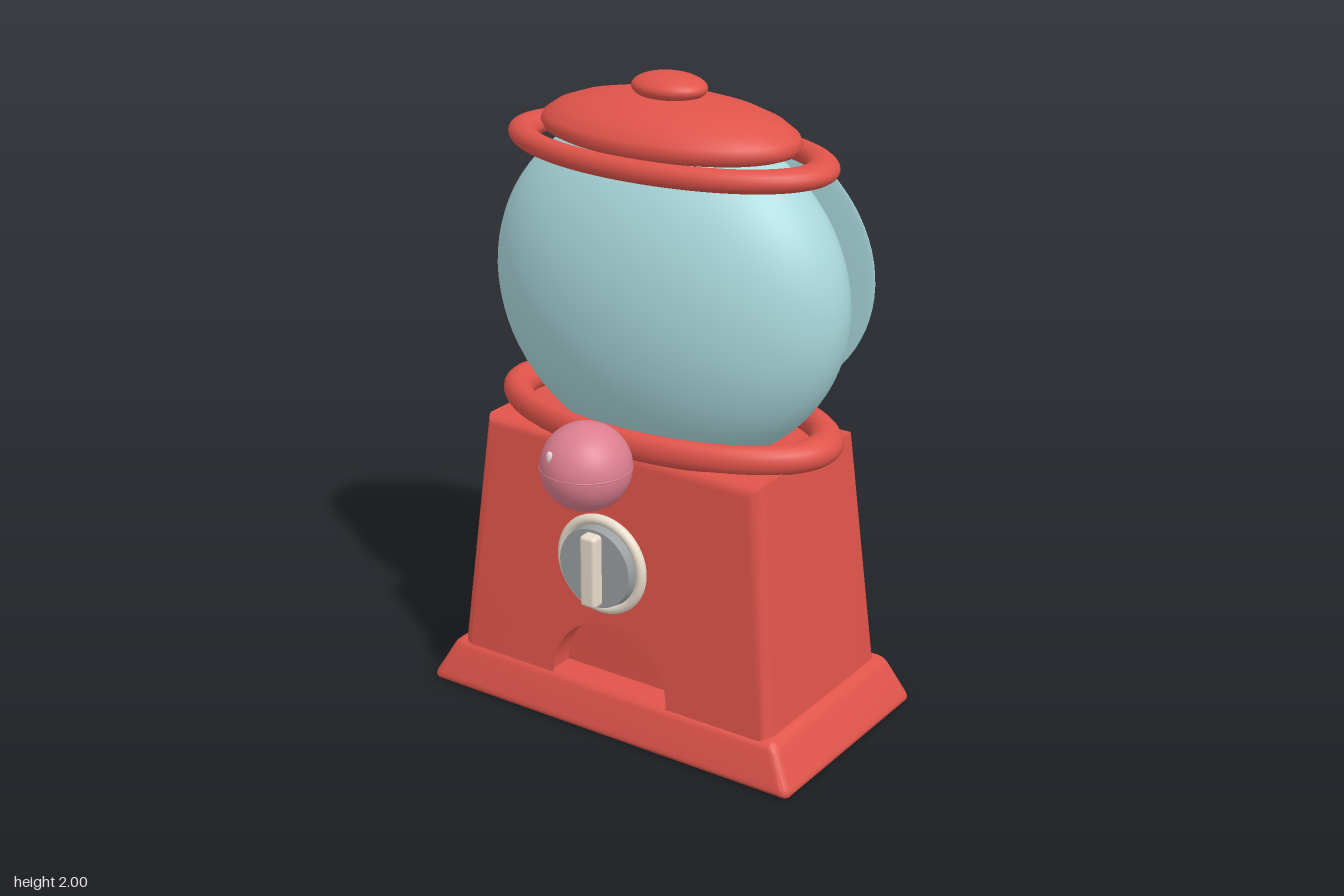
import * as THREE from 'three';
import { toCreasedNormals } from 'three/addons/utils/BufferGeometryUtils.js';
import { RoundedBoxGeometry } from 'three/addons/geometries/RoundedBoxGeometry.js';

const paint = (color) => new THREE.MeshStandardMaterial({ color });
const RED = paint(0xe0544a), GLASS = paint(0xaad8dc), PINK = paint(0xdc7e90);
const CREAM = paint(0xe8dccb), METAL = paint(0x9a9f9f), SHINE = paint(0xe6d5d8);
const ZC = -0.087; // centre line of the machine

// Moves every vertex of a geometry by a rule
function warp(geo, rule) {
  const p = geo.attributes.position, v = new THREE.Vector3();
  for (let i = 0; i < p.count; i++) {
    rule(v.fromBufferAttribute(p, i));
    p.setXYZ(i, v.x, v.y, v.z);
  }
  return geo;
}

// Bevelled slab of the tapered cabinet from zBack to zFront, optionally with the chute arch
function cabinetSlab(zBack, zFront, arch) {
  const b = 0.04, r = 0.21, floor = 0.14;
  const s = new THREE.Shape();
  s.moveTo(-0.535, 0.12);
  if (arch) {
    s.lineTo(-r - b, 0.12);
    s.lineTo(-r - b, floor + 0.01);
    s.absarc(0, floor + 0.01, r + b, Math.PI, 0, true);
    s.lineTo(r + b, 0.12);
  }
  s.lineTo(0.535, 0.12);
  s.lineTo(0.458, 0.88);
  s.lineTo(-0.458, 0.88);
  s.closePath();
  const geo = new THREE.ExtrudeGeometry(s, {
    depth: zFront - zBack - 2 * b, bevelThickness: b, bevelSize: b, bevelSegments: 5, curveSegments: 32,
  });
  geo.translate(0, 0, zBack + b);
  warp(geo, (v) => {
    // keep the arch edge crisp
    const dy = v.y - floor - 0.01, d = Math.hypot(v.x, dy);
    if (arch && d < r + b + 0.015) {
      if (dy > 0) { v.x *= r / d; v.y = floor + 0.01 + dy * r / d; }
      else v.x = Math.sign(v.x) * r;
    }
    // narrow front to back towards the top
    const k = 1 - 0.154 * (v.y - 0.15) / 0.75;
    v.z = ZC + (v.z - ZC) * k;
  });
  geo.deleteAttribute('normal');
  return toCreasedNormals(geo, 0.6);
}

export function createModel() {
  const model = new THREE.Group();
  const add = (name, geo, mat, x = 0, y = 0, z = 0, parent = model) => {
    const m = new THREE.Mesh(geo, mat);
    m.name = name;
    m.position.set(x, y, z);
    parent.add(m);
    return m;
  };
  const ellipsoid = (rx, ry, rz) => new THREE.SphereGeometry(1, 64, 40).scale(rx, ry, rz);
  const ovalRing = (rx, tube, h, depth) =>
    new THREE.TorusGeometry(rx - tube, tube, 20, 80).rotateX(Math.PI / 2).scale(1, h / (2 * tube), depth / rx);

  // Foot plate, narrowing upwards
  const foot = new RoundedBoxGeometry(1.35, 0.155, 0.76, 5, 0.03);
  warp(foot, (v) => {
    const t = v.y / 0.155 + 0.5;
    v.x *= 1 - 0.125 * t;
    v.z *= 1 - 0.115 * t;
  });
  add('footPlate', toCreasedNormals(foot, 0.6), RED, 0, 0.0775, -0.098);

  // Cabinet with the chute niche in its front
  const cabinet = new THREE.Group();
  cabinet.name = 'cabinet';
  model.add(cabinet);
  add('cabinetBody', cabinetSlab(-0.41, 0.155, false), RED, 0, 0, 0, cabinet);
  add('cabinetFront', cabinetSlab(0, 0.235, true), RED, 0, 0, 0, cabinet);

  // Globe, its rear pane and the two oval rings
  add('globe', ellipsoid(0.595, 0.535, 0.312), GLASS, 0, 1.355, ZC);
  add('rearPane', ellipsoid(0.55, 0.455, 0.013), GLASS, 0, 1.385, -0.348);
  add('lowerRing', ovalRing(0.585, 0.055, 0.09, 0.306), RED, 0, 0.953, ZC);
  add('upperRing', ovalRing(0.547, 0.052, 0.068, 0.286), RED, 0, 1.776, ZC);

  // Lid and its knob
  const lid = [[0, 1.8], [0.39, 1.8], [0.412, 1.808], [0.425, 1.83], [0.415, 1.852], [0.37, 1.882],
    [0.3, 1.907], [0.2, 1.928], [0.1, 1.938], [0, 1.942]].map(([x, y]) => new THREE.Vector2(x, y));
  add('lid', new THREE.LatheGeometry(lid, 72).scale(1, 1, 0.59), RED, 0, 0, ZC);
  add('lidKnob', ellipsoid(0.118, 0.042, 0.092), RED, 0, 1.958, ZC);

  // Gumballs showing at the bottom of the globe
  for (const s of [-1, 1]) {
    const ball = add('gumball', ellipsoid(0.07, 0.035, 0.06), PINK, s * 0.37, 1.025, -0.195);
    ball.rotation.x = 0.35;
  }

  // Large ball in front, with seam and highlight
  const ball = new THREE.Group();
  ball.name = 'frontBall';
  ball.position.set(0, 0.925, 0.336);
  model.add(ball);
  add('ball', ellipsoid(0.136, 0.132, 0.136), PINK, 0, 0, 0, ball);
  add('ballSeam', new THREE.TorusGeometry(0.135, 0.0025, 8, 64).rotateX(Math.PI / 2), PINK, 0, 0, 0, ball);
  add('ballHighlight', ellipsoid(0.011, 0.02, 0.008), SHINE, -0.045, 0.054, 0.114, ball);

  // Coin dial
  const dial = new THREE.Group();
  dial.name = 'coinDial';
  dial.position.set(0, 0.582, 0);
  model.add(dial);
  add('dialRing', new THREE.TorusGeometry(0.143, 0.016, 16, 64), CREAM, 0, 0, 0.263, dial);
  add('dialDisc', new THREE.CylinderGeometry(0.125, 0.132, 0.045, 64).rotateX(Math.PI / 2), METAL, 0, 0, 0.28, dial);
  add('dialHandle', new RoundedBoxGeometry(0.056, 0.23, 0.06, 4, 0.012), CREAM, 0, 0, 0.31, dial);

  return model;
}
